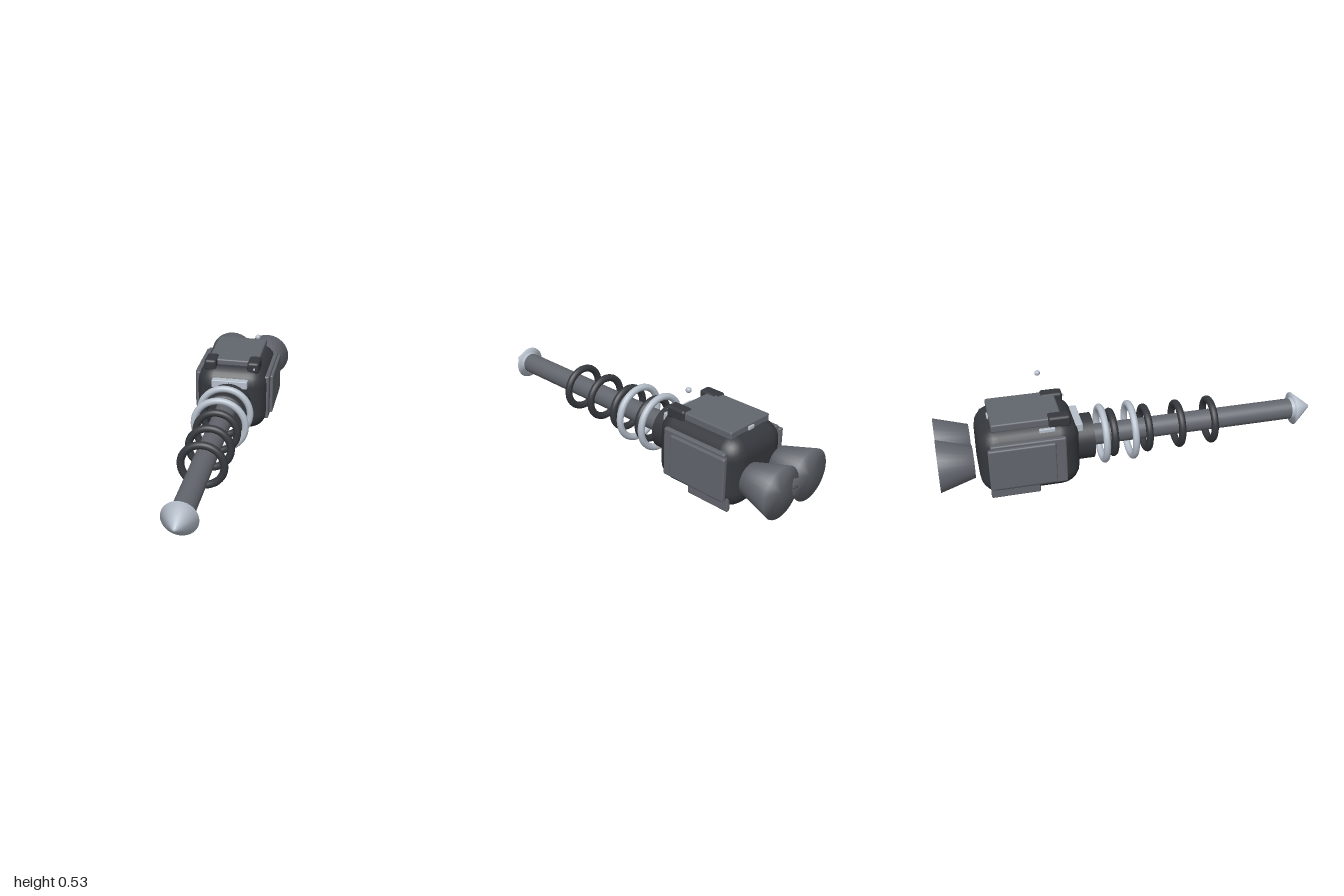
import * as THREE from 'three';
import { RoundedBoxGeometry } from 'three/addons/geometries/RoundedBoxGeometry.js';
import { mergeVertices } from 'three/addons/utils/BufferGeometryUtils.js';

const AXIS_Y = 0.187;

export function createModel() {
  const model = new THREE.Group();
  const dark = new THREE.MeshStandardMaterial({ color: 0x35383d });
  const mid = new THREE.MeshStandardMaterial({ color: 0x62666d });
  const light = new THREE.MeshStandardMaterial({ color: 0xb6bfcb });

  const add = (name, geometry, material, x = 0, y = AXIS_Y, z = 0) => {
    const mesh = new THREE.Mesh(geometry, material);
    mesh.name = name;
    mesh.position.set(x, y, z);
    model.add(mesh);
    return mesh;
  };

  // Rounded box given by its min and max along each axis
  const box = (name, material, [x0, x1], [y0, y1], [z0, z1], radius = 0.008, segments = 2) =>
    add(name, new RoundedBoxGeometry(x1 - x0, y1 - y0, z1 - z0, segments, radius), material,
      (x0 + x1) / 2, (y0 + y1) / 2, (z0 + z1) / 2);

  // Round part along z, radii given at its back and front ends
  const rod = (name, material, rBack, rFront, z0, z1, x = 0, y = AXIS_Y, soft = false) => {
    let g = new THREE.CylinderGeometry(rFront, rBack, z1 - z0, 32).rotateX(Math.PI / 2);
    if (soft) {
      g.deleteAttribute('normal');
      g.deleteAttribute('uv');
      g = mergeVertices(g);
      g.computeVertexNormals();
    }
    return add(name, g, material, x, y, (z0 + z1) / 2);
  };

  // Main housing
  box('body', dark, [-0.195, 0.195], [0, 0.37], [-0.8, -0.295], 0.1, 3);
  box('topPlate', mid, [-0.14, 0.14], [0.355, 0.397], [-0.73, -0.38]);
  box('rearLatch', light, [-0.02, 0.02], [0.365, 0.385], [-0.738, -0.7], 0.004);
  box('frontPlate', light, [-0.098, 0.098], [0.275, 0.318], [-0.33, -0.27], 0.004);
  box('sideStrip', light, [-0.168, -0.15], [0.31, 0.355], [-0.5, -0.42], 0.004);

  // Mirrored side panels, feet, corner blocks and nozzles
  for (const s of [-1, 1]) {
    const span = (a, b) => (s > 0 ? [a, b] : [-b, -a]);
    box('innerSidePanel', mid, span(0.175, 0.205), [0.06, 0.315], [-0.745, -0.373]);
    box('outerSidePanel', mid, span(0.195, 0.221), [0.075, 0.3], [-0.76, -0.427]);
    box('footRail', mid, span(0.155, 0.178), [0, 0.08], [-0.757, -0.51]);
    box('cornerBlock', dark, span(0.086, 0.152), [0.342, 0.404], [-0.45, -0.338], 0.014);
    rod('nozzle', mid, 0.131, 0.08, -1, -0.825, s * 0.107, AXIS_Y, true);
  }

  // Small horizontal rod and bead
  rod('antennaRod', light, 0.005, 0.005, -0.46, -0.325, 0.127, 0.372);
  add('antennaBead', new THREE.SphereGeometry(0.014, 16, 12), light, 0.127, 0.514, -0.455);

  // Barrel and pointed tip
  rod('collar', dark, 0.117, 0.117, -0.33, -0.21);
  rod('barrel', mid, 0.055, 0.055, -0.25, 0.9);
  rod('tipNeck', light, 0.057, 0.06, 0.887, 0.91);
  rod('tip', light, 0.088, 0.008, 0.903, 1, 0, AXIS_Y, true);

  // Rings around the barrel
  for (const z of [-0.105, 0.077, 0.253, 0.43])
    add('darkRing', new THREE.TorusGeometry(0.108, 0.019, 14, 48), dark, 0, AXIS_Y, z);
  for (const z of [-0.155, -0.003])
    add('lightRing', new THREE.TorusGeometry(0.137, 0.018, 14, 48), light, 0, AXIS_Y, z);

  return model;
}
